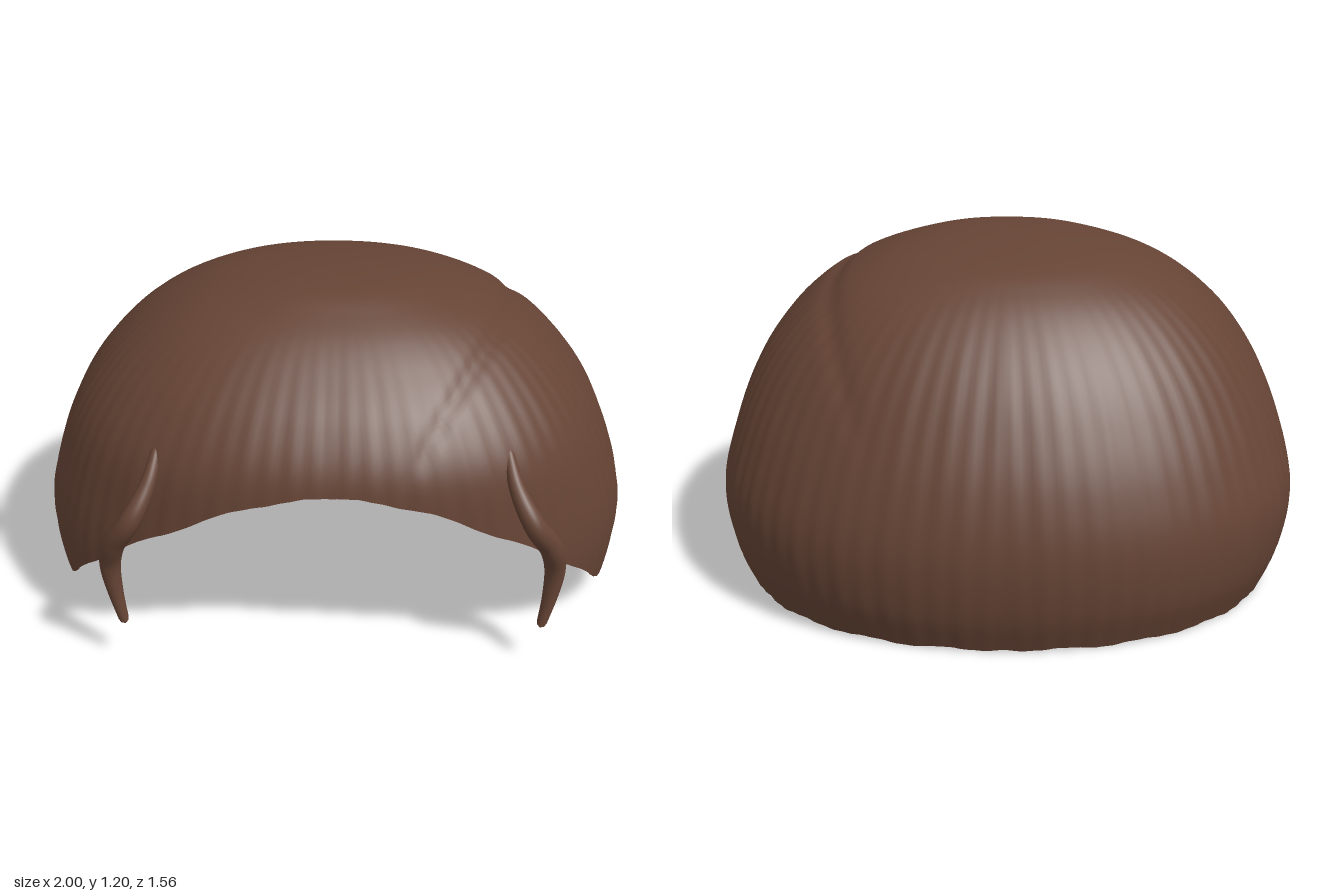
import * as THREE from 'three';

// Smooth interpolation through a short table of [key, value, value...] rows
function sample(table, key, col) {
  let i = 0;
  while (i < table.length - 2 && key > table[i + 1][0]) i++;
  const slope = (k) => {
    const a = table[Math.max(k - 1, 0)], b = table[Math.min(k + 1, table.length - 1)];
    return (b[col] - a[col]) / (b[0] - a[0]);
  };
  const p = table[i], q = table[i + 1], h = q[0] - p[0];
  const t = Math.min(Math.max((key - p[0]) / h, 0), 1), t2 = t * t, t3 = t2 * t;
  return (2 * t3 - 3 * t2 + 1) * p[col] + (t3 - 2 * t2 + t) * h * slope(i)
    + (3 * t2 - 2 * t3) * q[col] + (t3 - t2) * h * slope(i + 1);
}

const TOP = 1.2;
// Horizontal sections: height, half width, front z, back z
const SECTIONS = [
  [1.2, 0, 0.15, 0.15], [1.19, 0.19, 0.28, -0.01], [1.15, 0.39, 0.385, -0.23],
  [1.1, 0.52, 0.475, -0.335], [1.03, 0.635, 0.565, -0.43], [0.9, 0.77, 0.69, -0.55],
  [0.75, 0.87, 0.77, -0.645], [0.55, 0.95, 0.79, -0.735], [0.35, 0.995, 0.79, -0.78],
  [0.15, 0.97, 0.78, -0.765], [0, 0.915, 0.76, -0.71],
].map(([y, ...rest]) => [Math.sqrt((TOP - y) / TOP), ...rest]);

// Height of the lower rim by angle from the front
const RIM = [[0, 0.71], [0.2, 0.69], [0.41, 0.615], [0.6, 0.505], [0.73, 0.42], [0.87, 0.31],
  [1.04, 0.2], [1.24, 0.1], [1.44, 0.025], [1.6, 0.01], [Math.PI, 0.01]];

// Open hair shell with combed strands and a side parting
function hairShell() {
  const cols = 320, rows = 70, pos = [], index = [];
  for (let r = 0; r <= rows; r++) {
    const u = r / rows;
    for (let c = 0; c < cols; c++) {
      const phi = (c / cols) * Math.PI * 2;
      const a = Math.min(phi, Math.PI * 2 - phi);
      const sin = Math.sin(phi), cos = Math.cos(phi);
      const rim = sample(RIM, a, 1) + 0.005 * Math.sin(a * 22);
      const y = TOP - (TOP - rim) * u * u;
      const q = Math.sqrt((TOP - y) / TOP);
      const w = sample(SECTIONS, q, 1), zf = sample(SECTIONS, q, 2), zb = sample(SECTIONS, q, 3);
      // Slightly squared ellipse, fuller towards the front
      const n = 2.28 + 0.12 * cos;
      const round = (Math.abs(sin) ** n + Math.abs(cos) ** n) ** (-1 / n);
      const fade = THREE.MathUtils.smoothstep(q, 0.15, 0.6);
      const strand = round * (1 + 0.0022 * fade * (Math.sin(a * 74 + 6 * q) + 0.5 * Math.sin(a * 31 - 4 * q)));
      const x = w * sin * strand;
      const z = (zf + zb) / 2 + (zf - zb) / 2 * cos * strand;
      // Parting groove on the left side of the crown
      const off = (x - 0.6 + 0.5 * (z + 0.08) ** 2) / 0.03;
      const groove = 0.01 * Math.exp(-off * off) * THREE.MathUtils.smoothstep(y, 0.6, 0.85);
      pos.push(x - groove * 0.6, y - groove, z);
    }
  }
  for (let r = 0; r < rows; r++) {
    for (let c = 0; c < cols; c++) {
      const next = (c + 1) % cols;
      const a = r * cols + c, b = r * cols + next, d = a + cols, e = b + cols;
      if (r > 0) index.push(a, d, b);
      index.push(b, d, e);
    }
  }
  const g = new THREE.BufferGeometry();
  g.setAttribute('position', new THREE.Float32BufferAttribute(pos, 3));
  g.setIndex(index);
  g.computeVertexNormals();
  // The coincident crown vertices share one upward normal
  for (let c = 0; c < cols; c++) g.attributes.normal.setXYZ(c, 0, 1, 0);
  return g;
}

// Curved lock, thick in the middle and rounded at both tips
function lockGeometry() {
  const path = new THREE.CatmullRomCurve3([
    [0.55, 0.805, 0.605], [0.58, 0.7, 0.685], [0.635, 0.6, 0.74], [0.695, 0.5, 0.71],
    [0.718, 0.4, 0.67], [0.71, 0.28, 0.655], [0.685, 0.148, 0.653],
  ].map((p) => new THREE.Vector3(...p)));
  const len = 60, sides = 14;
  const g = new THREE.TubeGeometry(path, len, 1, sides);
  const p = g.attributes.position, v = new THREE.Vector3();
  for (let i = 0; i <= len; i++) {
    const t = i / len, centre = path.getPointAt(t);
    const tip = Math.sqrt(Math.max(0, 1 - Math.max(0, Math.abs(2 * t - 1) - 0.92) ** 2 / 0.0064));
    const radius = tip * (0.016 + 0.023 * Math.sin(Math.PI * t) ** 1.3);
    for (let j = 0; j <= sides; j++) {
      const k = i * (sides + 1) + j;
      v.fromBufferAttribute(p, k).sub(centre).multiplyScalar(radius).add(centre);
      p.setXYZ(k, v.x, v.y, v.z);
    }
  }
  return g;
}

export function createModel() {
  const group = new THREE.Group();
  group.name = 'hair';
  const brown = new THREE.MeshStandardMaterial({ color: 0x664435, side: THREE.DoubleSide });
  brown.name = 'brown hair';

  const shell = new THREE.Mesh(hairShell(), brown);
  shell.name = 'hairShell';
  group.add(shell);

  // Mirrored pair of front locks
  const lock = lockGeometry();
  for (const side of [1, -1]) {
    const mesh = new THREE.Mesh(lock, brown);
    mesh.name = side > 0 ? 'leftLock' : 'rightLock';
    mesh.scale.x = side;
    group.add(mesh);
  }
  return group;
}
